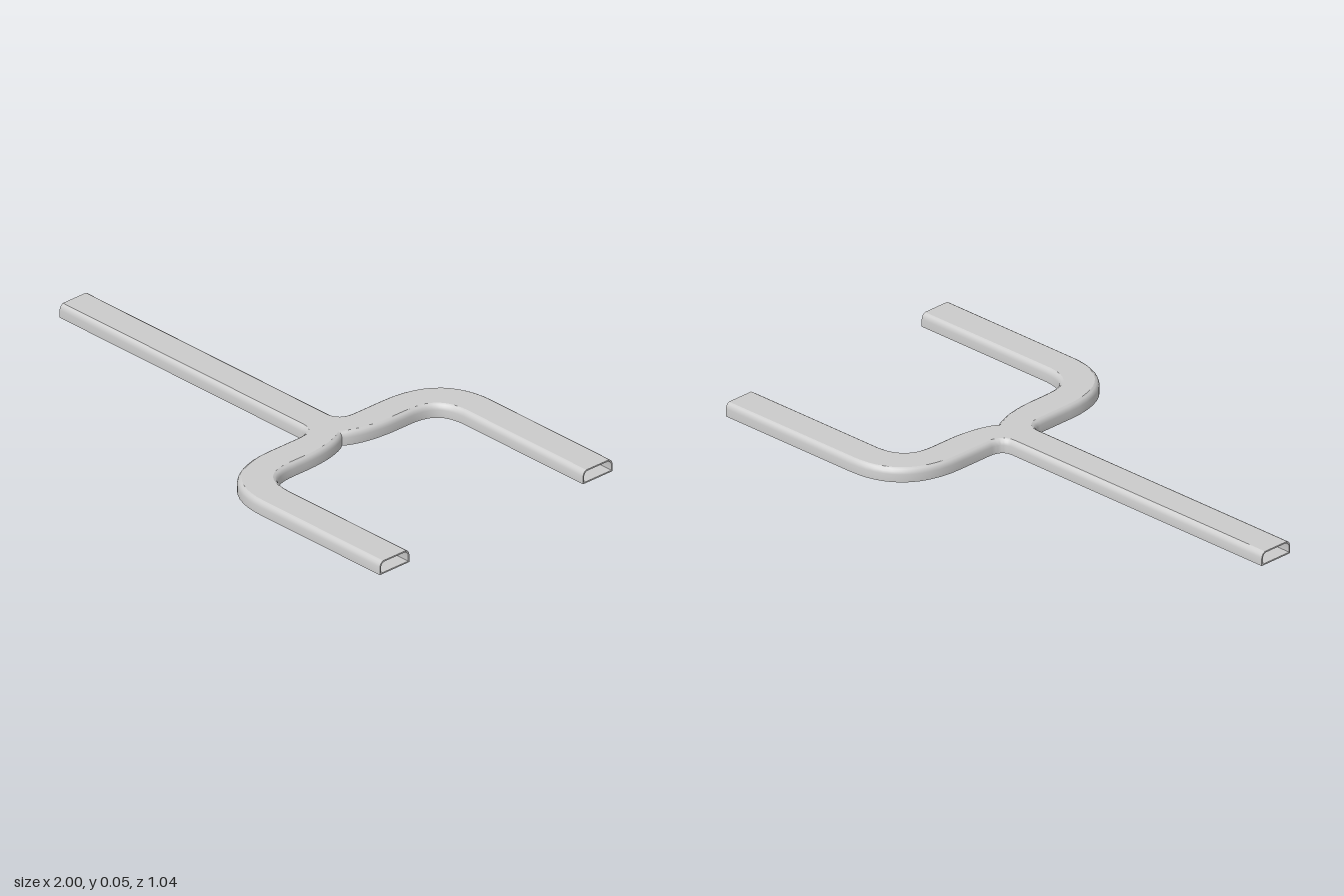
import * as THREE from 'three';
import { toCreasedNormals } from 'three/addons/utils/BufferGeometryUtils.js';

// Duct section as [inset from plan outline, height], from the floor up to the flat roof
const OUTER = [[0, 0], [0, 0.028], [0.003, 0.038], [0.008, 0.044], [0.015, 0.048]];
const INNER = [[0.005, 0.005], [0.005, 0.028], [0.008, 0.035], [0.012, 0.04], [0.017, 0.043]];
const HALF = 0.066;   // half width of every branch
const ARM_Z = 0.454;  // centre line of the two arms

// Plan outline (x, z) as three open chains running from opening to opening
function planChains() {
  const mirrored = pts => pts.map(p => new THREE.Vector2(p.x, -p.y)).reverse();
  const side = new THREE.Path();
  side.moveTo(-1, -HALF);
  side.lineTo(0.14, -HALF);
  side.quadraticCurveTo(0.185, -HALF, 0.187, -0.12);
  side.lineTo(0.187, -0.25);
  side.bezierCurveTo(0.185, -0.45, 0.3, -0.52, 0.43, -0.52);
  side.lineTo(1, -0.52);
  const crotch = new THREE.Path();
  crotch.moveTo(1, -0.388);
  crotch.lineTo(0.43, -0.388);
  crotch.bezierCurveTo(0.34, -0.383, 0.315, -0.34, 0.315, -0.26);
  crotch.lineTo(0.315, -0.2);
  crotch.bezierCurveTo(0.315, -0.12, 0.3, -0.04, 0.27, 0);
  const a = side.getPoints(12), b = crotch.getPoints(12);
  return [a, [...b, ...mirrored(b).slice(1)], mirrored(a)];
}

// Moves a chain inward with mitred corners
function insetChain(chain, d) {
  const normal = (p, q) => new THREE.Vector2(p.y - q.y, q.x - p.x).normalize();
  return chain.map((p, i) => {
    const n1 = normal(chain[Math.max(i - 1, 0)], chain[Math.max(i, 1)]);
    const last = chain.length - 1;
    const n2 = normal(chain[Math.min(i, last - 1)], chain[Math.min(i + 1, last)]);
    const m = n1.clone().add(n2).normalize();
    return p.clone().addScaledVector(m, d / m.dot(n1));
  });
}

function makeGeometry(positions, index) {
  const g = new THREE.BufferGeometry();
  g.setAttribute('position', new THREE.Float32BufferAttribute(positions, 3));
  g.setIndex(index);
  return toCreasedNormals(g, 0.6);
}

// Side wall: the section swept along one chain
function wallGeometry(chain, levels, inward) {
  const n = chain.length, pos = [], index = [];
  for (const [d, y] of levels) for (const p of insetChain(chain, d)) pos.push(p.x, y, p.y);
  for (let j = 0; j < levels.length - 1; j++) {
    for (let i = 0; i < n - 1; i++) {
      const a = j * n + i, b = a + n, c = b + 1, e = a + 1;
      index.push(...(inward ? [a, c, b, a, e, c] : [a, b, c, a, c, e]));
    }
  }
  return makeGeometry(pos, index);
}

// Flat sheet filling the plan outline, facing up (1) or down (-1)
function sheetGeometry(chains, [d, y], facing) {
  const pts = chains.flatMap(c => insetChain(c, d));
  const index = THREE.ShapeUtils.triangulateShape(pts, []).flatMap(([a, b, c]) => {
    const u = pts[b].clone().sub(pts[a]), v = pts[c].clone().sub(pts[a]);
    const up = u.y * v.x - u.x * v.y;
    return up * facing > 0 ? [a, b, c] : [a, c, b];
  });
  return makeGeometry(pts.flatMap(p => [p.x, y, p.y]), index);
}

// Thin rim around an opening
function rimGeometry() {
  const loop = levels => [
    ...levels.map(([d, y]) => new THREE.Vector2(HALF - d, y)),
    ...levels.map(([d, y]) => new THREE.Vector2(d - HALF, y)).reverse(),
  ];
  const shape = new THREE.Shape(loop(OUTER));
  shape.holes.push(new THREE.Path(loop(INNER)));
  return new THREE.ShapeGeometry(shape);
}

export function createModel() {
  const group = new THREE.Group();
  group.name = 'forkedDuct';
  const material = new THREE.MeshStandardMaterial({ color: 0xcccccc, side: THREE.DoubleSide });
  const add = (name, geometry) => {
    const mesh = new THREE.Mesh(geometry, material);
    mesh.name = name;
    group.add(mesh);
    return mesh;
  };
  const chains = planChains();
  const wallNames = ['RightWall', 'ForkWall', 'LeftWall'];

  // Outer skin and inner lining
  for (const [prefix, levels, inward] of [['outer', OUTER, false], ['inner', INNER, true]]) {
    chains.forEach((c, i) => add(prefix + wallNames[i], wallGeometry(c, levels, inward)));
    add(prefix + 'Roof', sheetGeometry(chains, levels[levels.length - 1], inward ? -1 : 1));
    add(prefix + 'Floor', sheetGeometry(chains, levels[0], inward ? 1 : -1));
  }

  // Rims of the three openings
  for (const [name, x, z] of [['stemRim', -1, 0], ['backArmRim', 1, -ARM_Z], ['frontArmRim', 1, ARM_Z]]) {
    const rim = add(name, rimGeometry());
    rim.rotation.y = x * Math.PI / 2;
    rim.position.set(x, 0, z);
  }
  return group;
}
